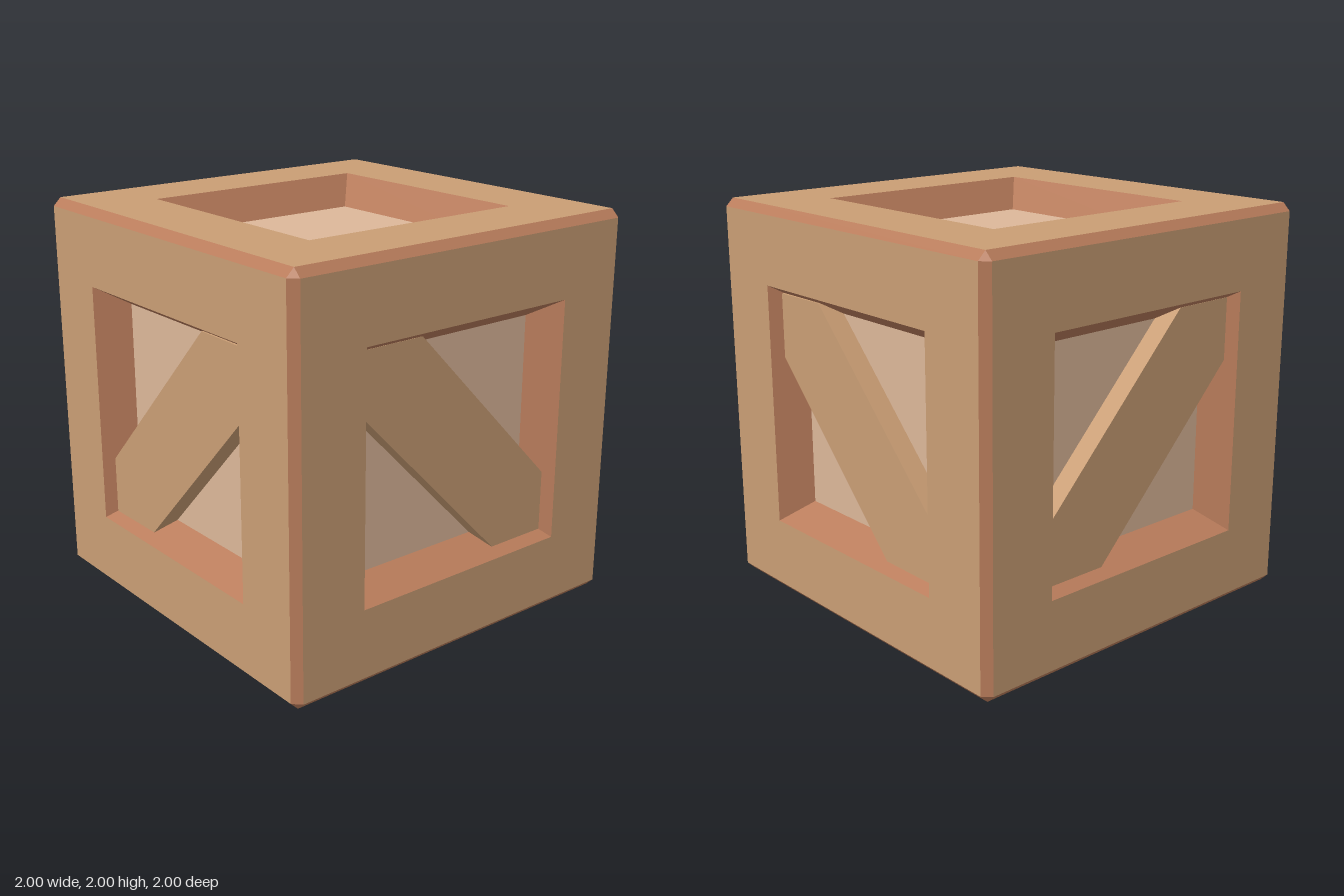
import * as THREE from 'three';

const OUT = 1, FLAT = 0.96;         // half size, half width of the flat faces
const HOLE = 0.613, PANEL = 0.52;   // half width of opening at front and at panel
const PANEL_Z = 0.84, PLANK_Z = 0.945;

const mat = (color, side = THREE.FrontSide) =>
  new THREE.MeshStandardMaterial({ color, side, flatShading: true });
const wood = mat(0xc99d74);
const panelWood = mat(0xdcb799);
const edgeWood = mat(0xb97c5b);
const wallWood = mat(0xb97c5b, THREE.DoubleSide);

function add(parent, name, geometry, material) {
  const mesh = new THREE.Mesh(geometry, material);
  mesh.name = name;
  parent.add(mesh);
  return mesh;
}

const polygon = pts => pts.map(([x, y]) => new THREE.Vector2(x, y));
const square = r => polygon([[-r, -r], [r, -r], [r, r], [-r, r]]);

// Diagonal plank outlines, centred on the face
const plankA = [[-0.58, 0.58], [-0.245, 0.58], [0.577, -0.27], [0.577, -0.577], [0.245, -0.577], [-0.58, 0.27]];
const plankB = [[-0.573, 0.573], [-0.26, 0.576], [0.58, -0.29], [0.58, -0.582], [0.23, -0.578], [-0.573, 0.25]];

// One face of the crate, built facing +z
function createFace(name, outline, mirror) {
  const face = new THREE.Group();
  face.name = name;

  // Flat frame with a square opening
  const shape = new THREE.Shape(square(FLAT));
  shape.holes.push(new THREE.Path(square(HOLE).reverse()));
  add(face, 'frame', new THREE.ShapeGeometry(shape), wood).position.z = OUT;

  // Sloping walls of the opening
  const depth = OUT - PANEL_Z;
  const walls = new THREE.CylinderGeometry(HOLE * Math.SQRT2, PANEL * Math.SQRT2, depth, 4, 1, true);
  walls.rotateY(Math.PI / 4).rotateX(Math.PI / 2);
  add(face, 'openingWalls', walls, wallWood).position.z = OUT - depth / 2;

  // Recessed panel
  add(face, 'panel', new THREE.PlaneGeometry(2 * PANEL, 2 * PANEL), panelWood).position.z = PANEL_Z;

  // Diagonal plank resting on the panel
  if (outline) {
    const pts = outline.map(([x, y]) => [mirror ? -x : x, y]);
    const plank = new THREE.ExtrudeGeometry(new THREE.Shape(polygon(pts)),
      { depth: PLANK_Z - PANEL_Z, bevelEnabled: false });
    add(face, 'diagonalPlank', plank, wood).position.z = PANEL_Z;
  }
  return face;
}

// Chamfer strips along the twelve edges
function addEdges(crate) {
  const mid = (OUT + FLAT) / 2;
  const width = (OUT - FLAT) * Math.SQRT2;
  const turns = [new THREE.Euler(), new THREE.Euler(Math.PI / 2, 0, 0), new THREE.Euler(0, 0, Math.PI / 2)];
  for (const turn of turns) {
    for (let i = 0; i < 4; i++) {
      const strip = new THREE.PlaneGeometry(width, 2 * FLAT);
      strip.translate(0, 0, mid * Math.SQRT2).rotateY(Math.PI / 4 + i * Math.PI / 2);
      add(crate, 'edgeChamfer', strip, edgeWood).rotation.copy(turn);
    }
  }
}

// Small triangles closing the eight corners
function addCorners(crate) {
  for (const x of [-1, 1]) for (const y of [-1, 1]) for (const z of [-1, 1]) {
    const corner = [[OUT, FLAT, FLAT], [FLAT, OUT, FLAT], [FLAT, FLAT, OUT]]
      .map(p => [p[0] * x, p[1] * y, p[2] * z]);
    if (x * y * z < 0) corner.reverse();
    const g = new THREE.BufferGeometry();
    g.setAttribute('position', new THREE.Float32BufferAttribute(corner.flat(), 3));
    g.computeVertexNormals();
    add(crate, 'cornerChamfer', g, edgeWood);
  }
}

export function createModel() {
  const crate = new THREE.Group();
  crate.name = 'crate';
  const q = Math.PI / 2;

  // name, rotation x, rotation y, plank outline, mirrored
  const faces = [
    ['frontFace', 0, 0, plankA, false],
    ['positiveXFace', 0, q, plankB, false],
    ['backFace', 0, 2 * q, plankA, true],
    ['negativeXFace', 0, -q, plankB, true],
    ['topFace', -q, 0, null, false],
    ['bottomFace', q, 0, null, false],
  ];
  for (const [name, rx, ry, outline, mirror] of faces) {
    const face = createFace(name, outline, mirror);
    face.rotation.set(rx, ry, 0);
    crate.add(face);
  }
  addEdges(crate);
  addCorners(crate);

  // Stand the crate on the ground
  crate.position.y = OUT;
  const model = new THREE.Group();
  model.name = 'woodenCrate';
  model.add(crate);
  return model;
}
